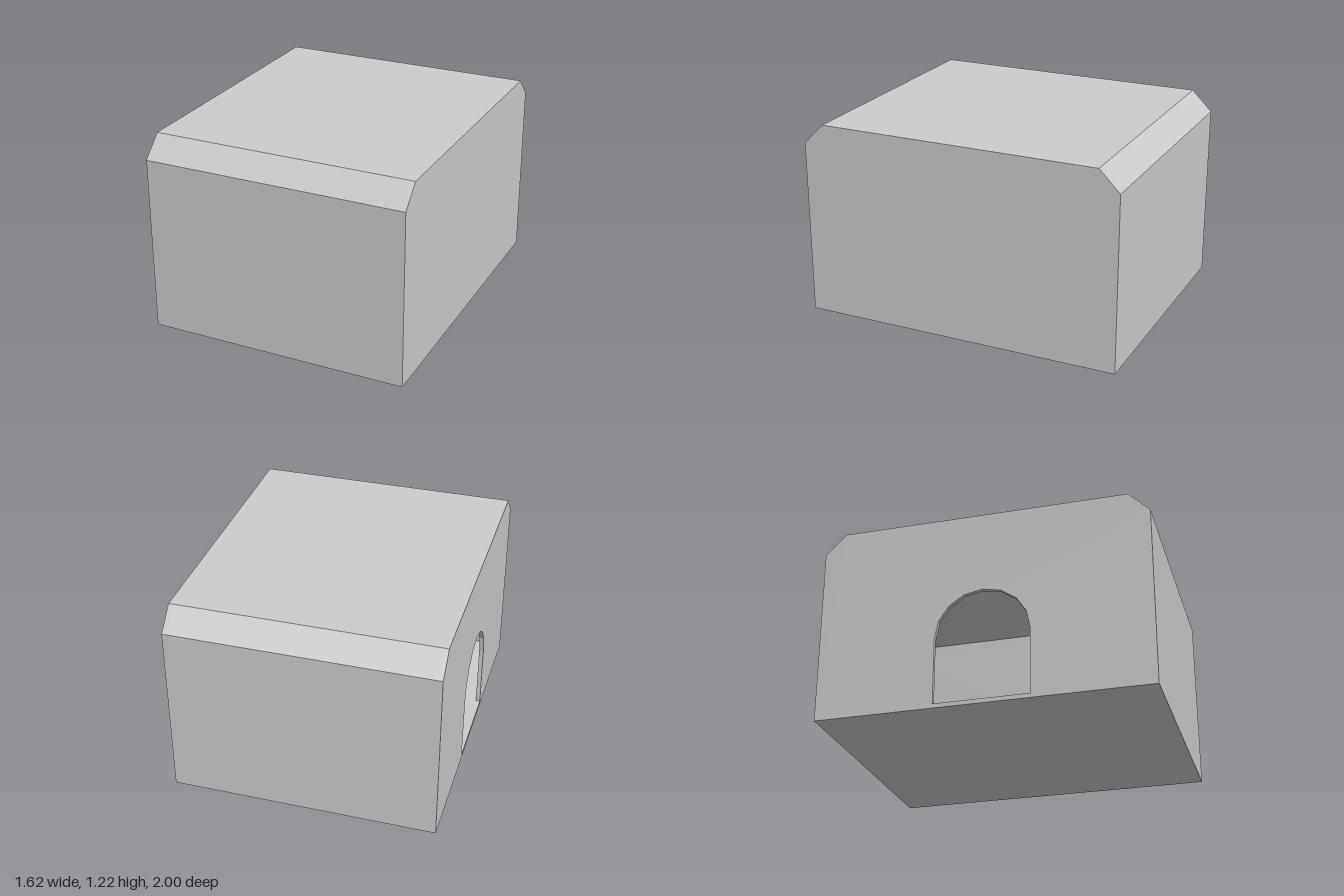
import * as THREE from 'three';

const HALF_X = 0.81, HALF_Z = 1, HEIGHT = 1.215, EAVE = 1.088, ROOF_Z = 0.873;
const WALL = 0.027; // shell thickness
const DOOR_R = 0.285, SPRING = 0.43;

// House cross-section with two chamfered eaves, inset by d on every side
function profile(d, PathType) {
  const k = d * Math.tan(Math.PI / 8);
  const z = HALF_Z - d, eave = EAVE - k, roofZ = ROOF_Z - k, top = HEIGHT - d;
  const path = new PathType();
  path.moveTo(-z, d);
  path.lineTo(z, d);
  path.lineTo(z, eave);
  path.lineTo(roofZ, top);
  path.lineTo(-roofZ, top);
  path.lineTo(-z, eave);
  path.closePath();
  return path;
}

// Round-topped doorway standing on the floor
function archway() {
  const path = new THREE.Path();
  path.moveTo(-DOOR_R, WALL);
  path.lineTo(DOOR_R, WALL);
  path.lineTo(DOOR_R, SPRING);
  path.absarc(0, SPRING, DOOR_R, 0, Math.PI, false);
  path.closePath();
  return path;
}

export function createModel() {
  const group = new THREE.Group();
  group.name = 'hollowShelter';
  const material = new THREE.MeshStandardMaterial({ color: 0xcccccc, flatShading: true });

  // Extrudes the cross-section along x between two positions
  function addPart(name, hole, x0, x1) {
    const shape = profile(0, THREE.Shape);
    if (hole) shape.holes.push(hole);
    const geometry = new THREE.ExtrudeGeometry(shape, { depth: x1 - x0, bevelEnabled: false, curveSegments: 4 });
    geometry.rotateY(Math.PI / 2).translate(x0, 0, 0);
    const mesh = new THREE.Mesh(geometry, material);
    mesh.name = name;
    group.add(mesh);
  }

  // Floor, front, back and roof as one hollow tube, closed by two end walls
  const inner = HALF_X - WALL;
  addPart('shell', profile(WALL, THREE.Path), -inner, inner);
  addPart('closedWall', null, inner, HALF_X);
  addPart('doorWall', archway(), -HALF_X, -inner);

  return group;
}
